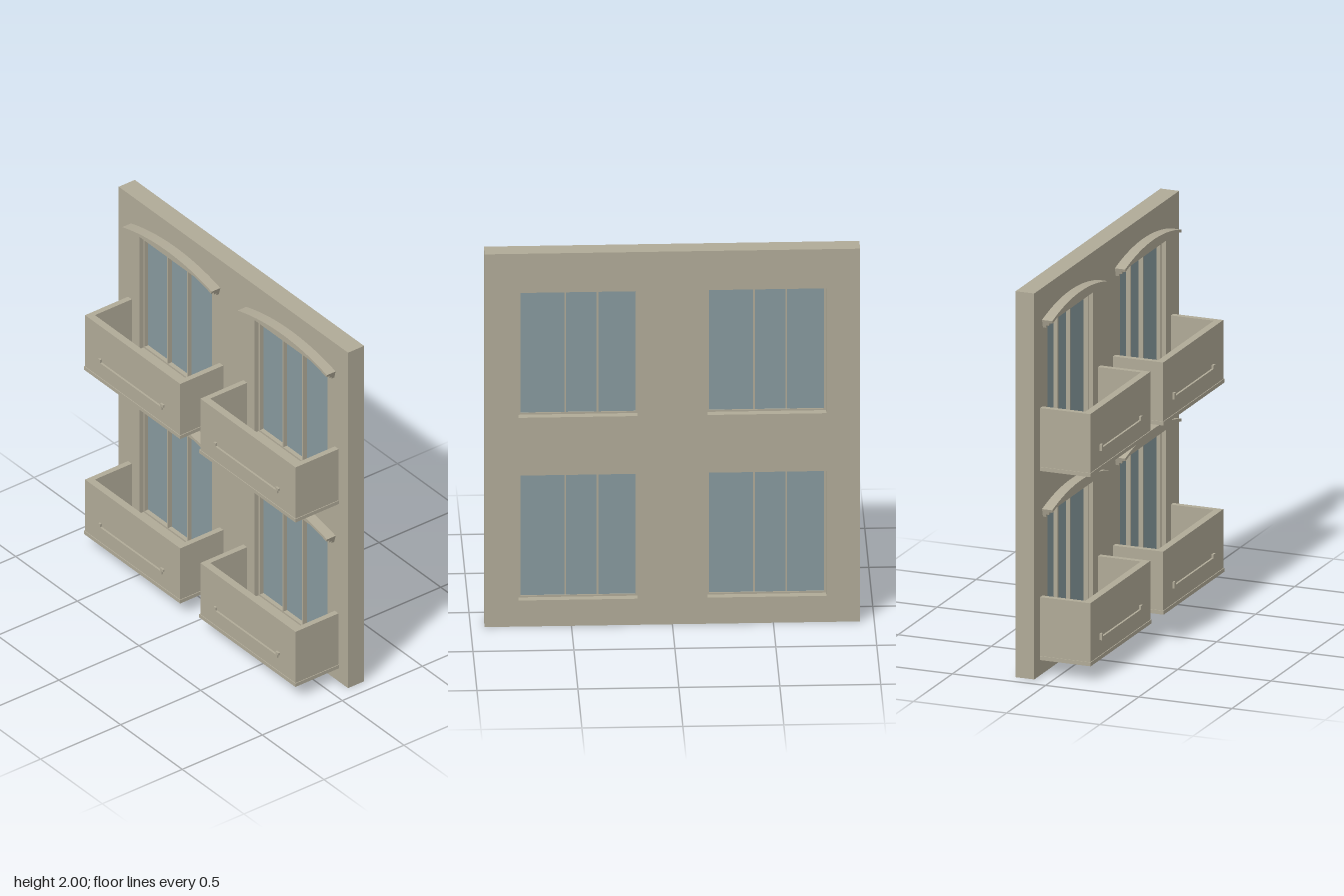
import * as THREE from 'three';

const stone = new THREE.MeshStandardMaterial({ color: 0xb0aa97 });
stone.name = 'stone';
const glass = new THREE.MeshStandardMaterial({ color: 0x87999d });
glass.name = 'glass';

const WALL_BACK = -0.19, WALL_FRONT = -0.09;

// Box given by its min and max corners
function box(parent, name, x0, x1, y0, y1, z0, z1, material = stone) {
  const mesh = new THREE.Mesh(new THREE.BoxGeometry(x1 - x0, y1 - y0, z1 - z0), material);
  mesh.position.set((x0 + x1) / 2, (y0 + y1) / 2, (z0 + z1) / 2);
  mesh.name = name;
  parent.add(mesh);
}

function extrude(parent, name, shape, z0, z1, curveSegments = 16) {
  const geometry = new THREE.ExtrudeGeometry(shape, { depth: z1 - z0, bevelEnabled: false, curveSegments });
  geometry.translate(0, 0, z0);
  const mesh = new THREE.Mesh(geometry, stone);
  mesh.name = name;
  parent.add(mesh);
}

function rect(PathType, x0, x1, y0, y1) {
  return new PathType([[x0, y0], [x1, y0], [x1, y1], [x0, y1]].map(p => new THREE.Vector2(...p)));
}

// Frame, three panes and two mullions
function makeWindow() {
  const g = new THREE.Group();
  g.name = 'window';
  const frame = rect(THREE.Shape, -0.295, 0.295, 0.14, 0.81);
  frame.holes.push(rect(THREE.Path, -0.285, 0.285, 0.15, 0.797));
  extrude(g, 'windowFrame', frame, -0.15, -0.115);
  const bars = [-0.098, 0.062];
  const edges = [-0.285, ...bars, 0.285];
  for (let i = 0; i < 3; i++) {
    box(g, 'pane', edges[i] + (i ? 0.004 : 0), edges[i + 1] - (i < 2 ? 0.004 : 0), 0.15, 0.797, -0.145, -0.138, glass);
  }
  for (const x of bars) box(g, 'mullion', x - 0.004, x + 0.004, 0.15, 0.797, -0.146, -0.115);
  return g;
}

// Arched hood made of three stepped mouldings
function makeHood() {
  const g = new THREE.Group();
  g.name = 'hood';
  const half = 0.276, centreY = 0.905 - 1.33;
  const tiers = [[1.33, 1.315, -0.035], [1.315, 1.3, -0.055], [1.3, 1.286, -0.072]];
  for (const [outer, inner, front] of tiers) {
    const arc = new THREE.Shape();
    arc.absarc(0, centreY, outer, Math.PI / 2 - half, Math.PI / 2 + half, false);
    arc.absarc(0, centreY, inner, Math.PI / 2 + half, Math.PI / 2 - half, true);
    extrude(g, 'hoodMoulding', arc, WALL_FRONT, front);
  }
  return g;
}

// Open-topped balcony with a base lip and a front rail
function makeBalcony() {
  const g = new THREE.Group();
  g.name = 'balcony';
  const w = 0.386, y0 = 0.085, y1 = 0.405;
  box(g, 'balconyLip', -w - 0.004, w + 0.004, y0 - 0.005, 0.1, WALL_FRONT, 0.183);
  box(g, 'balconyFloor', -w + 0.03, w - 0.03, 0.1, 0.12, WALL_FRONT, 0.14);
  box(g, 'balconyFront', -w, w, 0.1, y1, 0.14, 0.179);
  for (const s of [-1, 1]) {
    const x = s * (w - 0.015);
    box(g, 'balconySide', x - 0.015, x + 0.015, 0.1, y1, WALL_FRONT, 0.14);
  }
  box(g, 'railBar', -0.265, 0.248, 0.18, 0.196, 0.179, 0.19);
  box(g, 'railEnd', -0.265, -0.25, 0.196, 0.214, 0.179, 0.19);
  box(g, 'railEnd', 0.236, 0.248, 0.196, 0.214, 0.179, 0.19);
  box(g, 'railTip', 0.248, 0.26, 0.2, 0.214, 0.179, 0.19);
  return g;
}

export function createModel() {
  const model = new THREE.Group();
  model.name = 'facade';
  const wall = rect(THREE.Shape, -0.93, 0.93, 0, 2);
  for (const x of [-0.468, 0.467]) {
    for (const y of [0, 0.98]) {
      wall.holes.push(rect(THREE.Path, x - 0.295, x + 0.295, y + 0.14, y + 0.81));
      const bay = new THREE.Group();
      bay.name = 'bay';
      bay.add(makeWindow(), makeHood(), makeBalcony());
      bay.position.set(x, y, 0);
      model.add(bay);
    }
  }
  extrude(model, 'wall', wall, WALL_BACK, WALL_FRONT);
  return model;
}
